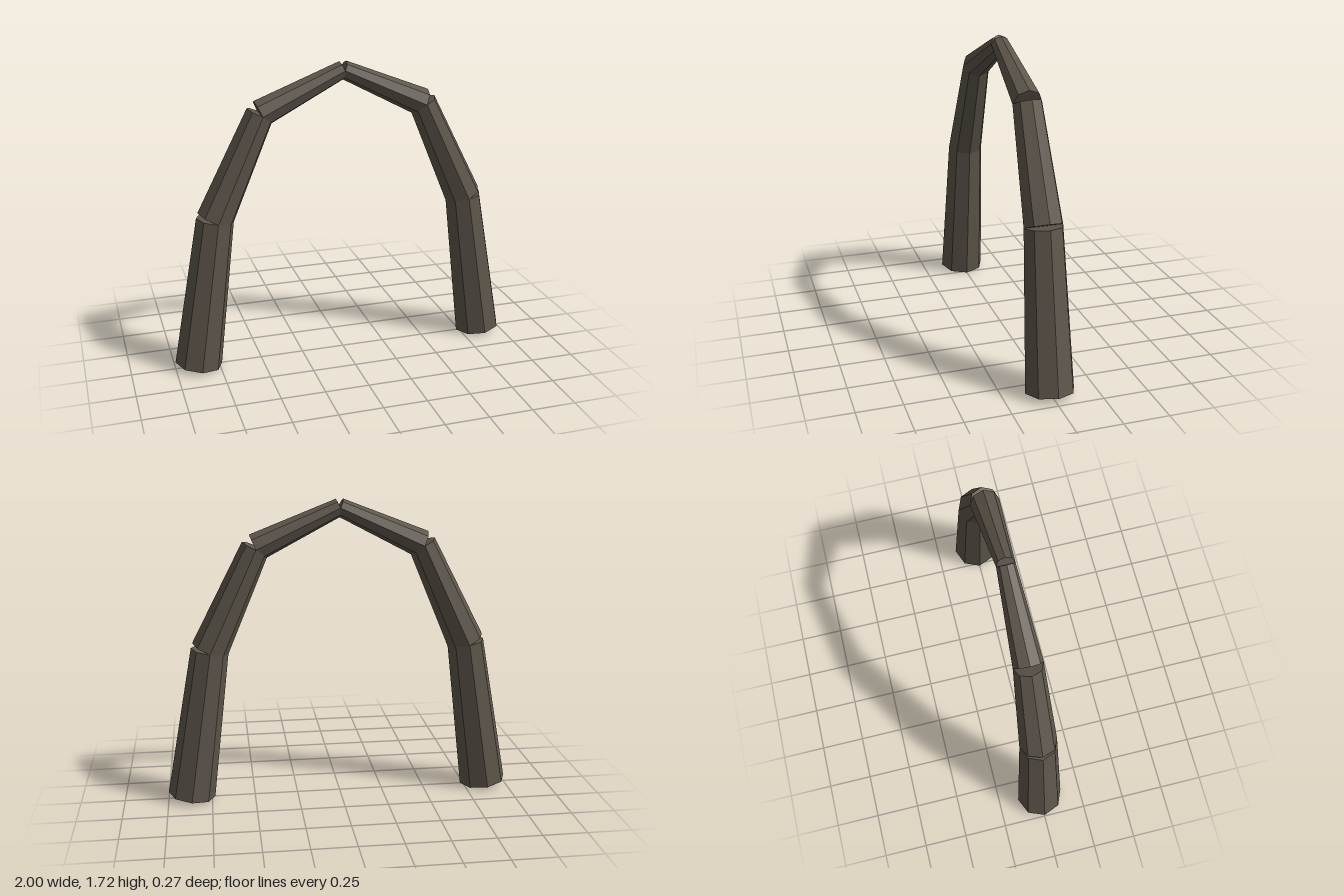
import * as THREE from 'three';

export function createModel() {
  const group = new THREE.Group();
  group.name = 'arch';
  const material = new THREE.MeshStandardMaterial({ color: 0x5e564b, flatShading: true });

  // Joints of one half, from the foot to the crown: x, y, radius
  const joints = [
    [0.866, 0.02, 0.135],
    [0.735, 0.885, 0.106],
    [0.467, 1.46, 0.08],
    [0, 1.675, 0.05],
  ];
  const names = ['lowerPost', 'upperPost', 'crownBeam'];

  // Tapered eight-sided log between two joints
  function log(name, side, [x0, y0, r0], [x1, y1, r1]) {
    const dx = side * (x1 - x0), dy = y1 - y0;
    const mesh = new THREE.Mesh(
      new THREE.CylinderGeometry(r1, r0, Math.hypot(dx, dy), 8), material);
    mesh.name = name;
    mesh.position.set(side * (x0 + x1) / 2, (y0 + y1) / 2, 0);
    mesh.rotation.z = Math.atan2(-dx, dy);
    return mesh;
  }

  // Mirrored halves
  for (const [prefix, side] of [['left', 1], ['right', -1]]) {
    const half = new THREE.Group();
    half.name = prefix + 'Half';
    names.forEach((name, i) => half.add(log(name, side, joints[i], joints[i + 1])));
    group.add(half);
  }
  return group;
}
